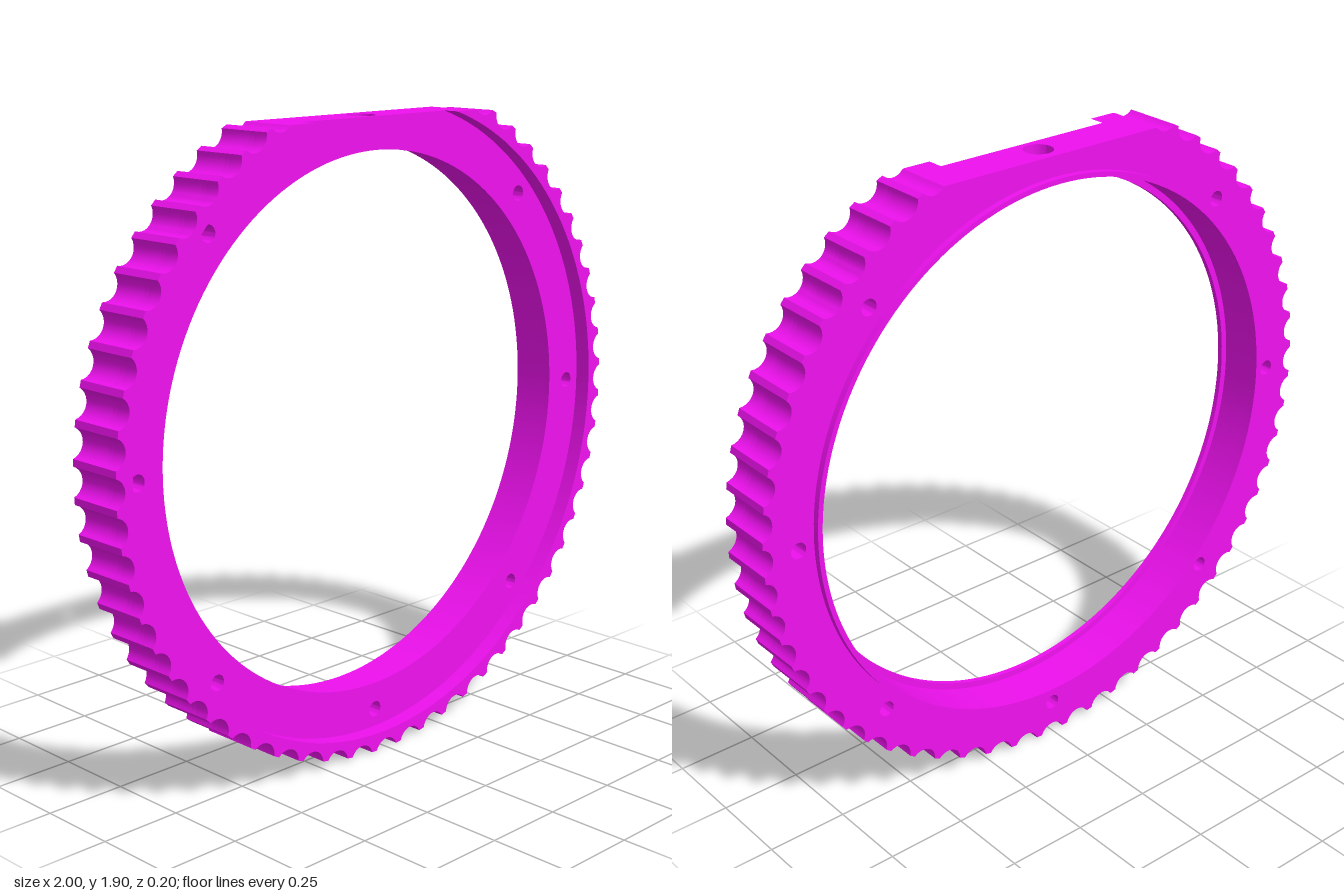
import * as THREE from 'three';
import { toCreasedNormals } from 'three/addons/utils/BufferGeometryUtils.js';

const FLAT = 0.9;    // height of the flat above the ring centre
const BORE = 0.825;  // main bore radius
const KEY = 0.06;    // half width of the drilled block under the flat
const TEETH = 60;
const TOP = Math.PI / 2;

// Scalloped outline, counter-clockwise from the top, cut off by the flat
function outline() {
  const pts = [];
  const c = 1.015, r = 0.045, steps = 10;
  const phi = Math.acos((c * c + r * r - 1) / (2 * c * r));
  for (let i = 0; i < TEETH; i++) {
    const a = TOP + (i / TEETH) * Math.PI * 2;
    for (let j = 0; j <= steps; j++) {
      const b = a + Math.PI + phi - (2 * phi * j) / steps;
      const x = c * Math.cos(a) + r * Math.cos(b);
      const y = c * Math.sin(a) + r * Math.sin(b);
      pts.push(new THREE.Vector2(x, Math.min(y, FLAT)));
    }
  }
  return pts;
}

function circle(radius, x = 0, y = 0) {
  return new THREE.Path().absarc(x, y, radius, 0, Math.PI * 2, false);
}

// Ring open at the top: scalloped outside, round inside, ends at x = ±half
function openRing(radius, half) {
  const kept = outline().filter((p) => !(p.y > FLAT - 1e-6 && Math.abs(p.x) <= half));
  // Start on the left end of the flat and go round to the right end
  const first = kept.findIndex((p) => p.x < -half);
  const outer = [...kept.slice(first), ...kept.slice(0, first)];
  const pts = [new THREE.Vector2(-half, FLAT), ...outer, new THREE.Vector2(half, FLAT)];
  const gap = Math.asin(half / radius), n = 160;
  for (let i = 0; i <= n; i++) {
    const a = TOP - gap - (i / n) * (Math.PI * 2 - 2 * gap);
    pts.push(new THREE.Vector2(radius * Math.cos(a), radius * Math.sin(a)));
  }
  return new THREE.Shape(pts.filter((p, i) => i === 0 || p.distanceTo(pts[i - 1]) > 1e-4));
}

// Screw holes every 45 degrees, none at the top
function addScrewHoles(shape) {
  for (let i = 0; i < 8; i++) {
    if (i === 2) continue;
    const a = (i * Math.PI) / 4;
    shape.holes.push(circle(0.024, 0.89 * Math.cos(a), 0.89 * Math.sin(a)));
  }
  return shape;
}

export function createModel() {
  const model = new THREE.Group();
  model.name = 'scallopedRing';
  const material = new THREE.MeshStandardMaterial({ color: 0xee11ee });

  const add = (name, geometry) => {
    const mesh = new THREE.Mesh(toCreasedNormals(geometry, 0.5), material);
    mesh.name = name;
    mesh.position.y = 1;
    model.add(mesh);
  };
  const slab = (name, shape, z0, z1, curveSegments = 80) => {
    const g = new THREE.ExtrudeGeometry(shape, { depth: z1 - z0, bevelEnabled: false, curveSegments });
    add(name, g.translate(0, 0, z0));
  };

  // Raised front rim around the recess, open where the flat cuts it
  const recess = 0.945;
  slab('frontRim', openRing(recess, Math.sqrt(recess * recess - FLAT * FLAT)), 0.05, 0.1);

  // Recessed front flange, slightly narrower bore
  const flange = new THREE.Shape(outline().filter((p, i, all) => i === 0 || p.distanceTo(all[i - 1]) > 1e-4));
  flange.holes.push(circle(0.805));
  slab('frontFlange', addScrewHoles(flange), 0.034, 0.05);

  // Main body with a gap for the drilled block
  slab('ringBody', addScrewHoles(openRing(BORE, KEY)), -0.08, 0.034, 24);

  // Block with the radial hole, its underside following the bore
  const block = new THREE.Shape([
    new THREE.Vector2(-KEY, -0.034), new THREE.Vector2(KEY, -0.034),
    new THREE.Vector2(KEY, 0.08), new THREE.Vector2(-KEY, 0.08),
  ]);
  block.holes.push(circle(0.043, 0, 0.01));
  const g = new THREE.ExtrudeGeometry(block, { depth: FLAT, bevelEnabled: false, curveSegments: 24 });
  g.rotateX(-Math.PI / 2);
  const pos = g.attributes.position;
  for (let i = 0; i < pos.count; i++) {
    if (pos.getY(i) < 0.5) pos.setY(i, Math.sqrt(BORE * BORE - pos.getX(i) ** 2));
  }
  add('drilledBlock', g);

  // Thin locating lip on the back
  const lip = new THREE.Shape().absarc(0, 0, 0.84, 0, Math.PI * 2, false);
  lip.holes.push(circle(BORE));
  slab('backLip', lip, -0.1, -0.08);

  return model;
}
